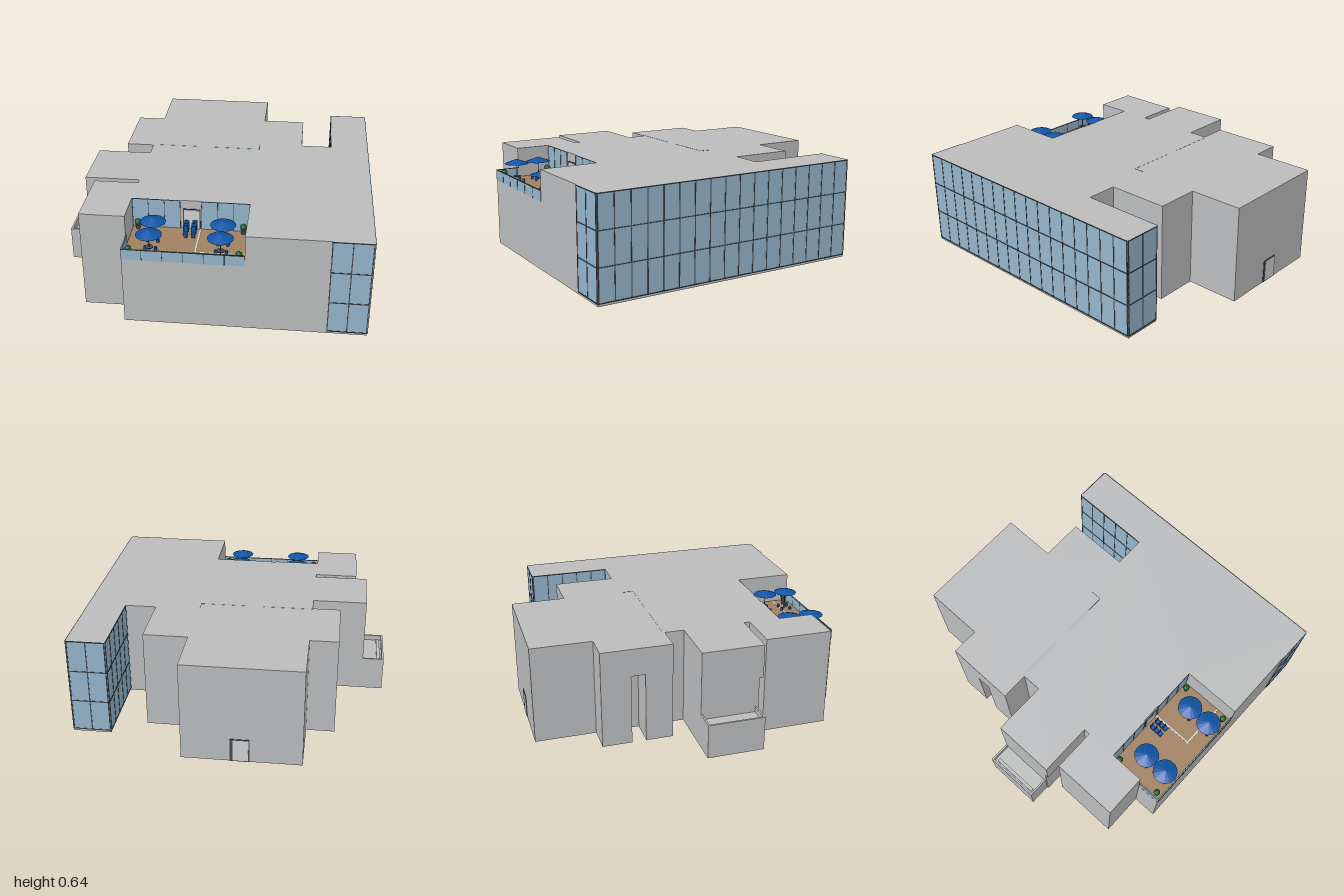
import * as THREE from 'three';

const mat = (name, color) => {
  const m = new THREE.MeshStandardMaterial({ color });
  m.name = name;
  return m;
};

export function createModel() {
  const root = new THREE.Group();
  root.name = 'building';
  const wall = mat('wall grey', 0xbbbcbd);
  const glass = mat('glass blue', 0x94b5cb);
  const frame = mat('frame dark grey', 0x43494e);
  const wood = mat('deck wood', 0xa08060);
  const blue = mat('canopy blue', 0x0f55a5);
  const green = mat('plant green', 0x1f5c2c);
  const pale = mat('pale grey', 0xd0d2d3);

  const add = (name, geo, m, parent = root) => {
    const mesh = new THREE.Mesh(geo, m);
    mesh.name = name;
    parent.add(mesh);
    return mesh;
  };
  // Box given by its limits on each axis
  const box = (name, m, x0, x1, y0, y1, z0, z1, parent = root) => {
    const b = add(name, new THREE.BoxGeometry(x1 - x0, y1 - y0, z1 - z0), m, parent);
    b.position.set((x0 + x1) / 2, (y0 + y1) / 2, (z0 + z1) / 2);
    return b;
  };
  // Upright prism over an x,z outline
  const slab = (name, pts, y0, y1) => {
    const shape = new THREE.Shape(pts.map(([x, z]) => new THREE.Vector2(x, -z)));
    const geo = new THREE.ExtrudeGeometry(shape, { depth: y1 - y0, bevelEnabled: false });
    geo.rotateX(-Math.PI / 2);
    geo.translate(0, y0, 0);
    return add(name, geo, wall);
  };

  const H = 0.64, DECK = 0.44, RAIL = 0.51, R = 0.974, F = 0.995;

  // Main body: full storeys below, terrace corner cut out above
  const back = [[-0.49, -1], [0.25, -1], [0.25, -0.65], [0.53, -0.65], [0.53, -0.25],
    [0.735, -0.25], [0.735, -0.785], [R, -0.785], [R, F]];
  const side = [[-0.49, 0.84], [-0.77, 0.84], [-0.77, 0.41], [-0.49, 0.41]];
  slab('lowerBody', [...back, [-0.49, F], ...side], 0, DECK);
  slab('upperBody', [...back, [0.24, F], [0.24, 0.61], [-0.49, 0.61], ...side], DECK, H);

  // Side block with a doorway recess
  box('sideBlockBack', wall, -0.67, -0.49, 0, H, -0.61, -0.42);
  box('sideBlockFront', wall, -0.67, -0.49, 0, H, -0.33, -0.155);
  box('sideBlockLintel', wall, -0.67, -0.49, 0.46, H, -0.42, -0.33);

  // Stair block, slightly wider at the top
  box('stairBlockLower', wall, -0.84, -0.49, 0, 0.42, -0.03, 0.345);
  box('stairBlockUpper', wall, -0.84, -0.49, 0.42, H, -0.03, 0.37);

  // Low annex with a parapet
  box('annex', wall, -0.98, -0.84, 0, 0.19, -0.03, 0.335);
  box('annexParapet', wall, -0.98, -0.968, 0.19, 0.225, -0.03, 0.335);
  box('annexParapet', wall, -0.968, -0.84, 0.19, 0.225, -0.03, -0.018);
  box('annexParapet', wall, -0.968, -0.84, 0.19, 0.225, 0.323, 0.335);
  box('annexLedge', wall, -0.957, -0.935, 0.19, 0.2, 0, 0.31);

  // Curtain wall panel: built along local x from 0 to w, facing local +z
  const curtain = (name, x, z, turn, w, y0, y1, cols, rows, bar = 0.006) => {
    const g = new THREE.Group();
    g.name = name;
    g.position.set(x, 0, z);
    g.rotation.y = turn;
    root.add(g);
    box('pane', glass, 0, w, y0, y1, 0, 0.004, g);
    for (let i = 0; i <= cols; i++) {
      const c = THREE.MathUtils.clamp((w * i) / cols, bar / 2, w - bar / 2);
      box('mullion', frame, c - bar / 2, c + bar / 2, y0, y1, 0, 0.006, g);
    }
    for (let j = 0; j <= rows; j++) {
      const c = THREE.MathUtils.clamp(y0 + ((y1 - y0) * j) / rows, y0 + bar / 2, y1 - bar / 2);
      box('transom', frame, 0, w, c - bar / 2, c + bar / 2, 0, 0.0065, g);
    }
    return g;
  };
  curtain('wingGlassLeft', R, F, Math.PI / 2, 1.78, 0.015, H, 17, 3);
  curtain('wingGlassFront', 0.735, F, 0, 0.239, 0.015, H, 2, 3);
  curtain('wingGlassBack', R, -0.785, Math.PI, 0.239, 0.015, H, 2, 3);
  curtain('wingGlassInner', 0.735, -0.785, -Math.PI / 2, 0.535, 0.015, H, 5, 3);

  // Terrace glazing and door
  curtain('terraceGlassRight', -0.49, 0.61, 0, 0.3, DECK, H, 3, 1, 0.003);
  curtain('terraceGlassLeft', -0.06, 0.61, 0, 0.3, DECK, H, 3, 1, 0.003);
  box('terraceDoorFrame', frame, -0.175, -0.065, DECK, 0.583, 0.61, 0.614);
  box('terraceDoor', pale, -0.168, -0.072, DECK, 0.576, 0.61, 0.616);

  // Deck, pale strips and railings
  box('deck', wood, -0.487, 0.24, DECK, DECK + 0.006, 0.61, 0.99);
  box('deckStrip', pale, -0.07, -0.06, DECK, DECK + 0.008, 0.615, 0.89);
  box('deckStrip', pale, -0.06, 0.235, DECK, DECK + 0.008, 0.88, 0.89);
  const rail = (x0, x1, z0, z1) => {
    box('railingGlass', glass, x0, x1, DECK, RAIL, z0, z1);
    box('railingBar', frame, x0 - 0.001, x1 + 0.001, RAIL - 0.004, RAIL, z0 - 0.001, z1 + 0.001);
  };
  rail(-0.489, 0.24, 0.991, 0.998);
  rail(-0.489, -0.483, 0.84, 0.991);
  for (let i = 1; i < 6; i++) {
    const x = -0.49 + i * 0.122;
    box('railingPost', frame, x - 0.0015, x + 0.0015, DECK, RAIL, 0.99, 0.9995);
  }

  // Parasols with table and stools
  for (const x of [-0.335, 0.09]) for (const z of [0.76, 0.913]) {
    const g = new THREE.Group();
    g.name = 'parasolSet';
    g.position.set(x, DECK, z);
    root.add(g);
    const canopyGeo = new THREE.ConeGeometry(0.079, 0.03, 14, 1).toNonIndexed();
    canopyGeo.computeVertexNormals();
    add('canopy', canopyGeo, blue, g).position.y = 0.145;
    add('pole', new THREE.CylinderGeometry(0.003, 0.003, 0.14, 8), frame, g).position.y = 0.07;
    add('table', new THREE.CylinderGeometry(0.025, 0.025, 0.004, 14), frame, g).position.y = 0.045;
    for (let i = 0; i < 4; i++) {
      const a = (i + 0.5) * Math.PI / 2;
      const s = add('stool', new THREE.CylinderGeometry(0.009, 0.009, 0.028, 8), blue, g);
      s.position.set(0.045 * Math.cos(a), 0.014, 0.045 * Math.sin(a));
    }
  }

  // Chairs by the door, two columns of three
  for (const x of [-0.145, -0.097]) for (let i = 0; i < 3; i++) {
    const z = 0.655 + i * 0.032;
    box('chairSeat', blue, x - 0.015, x + 0.015, 0.47, 0.478, z - 0.014, z + 0.014);
    box('chairBack', blue, x - 0.015, x + 0.015, 0.478, 0.52, z - 0.014, z - 0.009);
    box('chairLeg', frame, x - 0.01, x + 0.01, DECK, 0.47, z - 0.008, z + 0.008);
  }

  // Corner plants
  for (const x of [-0.453, 0.202]) for (const z of [0.642, 0.955]) {
    add('planter', new THREE.CylinderGeometry(0.016, 0.012, 0.035, 12), frame).position.set(x, DECK + 0.02, z);
    add('plant', new THREE.IcosahedronGeometry(0.021, 1), green).position.set(x, DECK + 0.052, z);
  }

  // Back door
  box('backDoorFrame', frame, -0.17, -0.05, 0, 0.155, -1.003, -1);
  box('backDoor', pale, -0.163, -0.068, 0.005, 0.148, -1.004, -1);

  // Glass joints showing along the roof
  box('roofJoint', glass, -0.49, -0.17, H, H + 0.001, -0.167, -0.162);
  box('roofJoint', glass, -0.07, 0.24, H, H + 0.001, -0.167, -0.162);
  box('roofJoint', frame, 0.239, 0.243, H, H + 0.001, -0.235, -0.162);

  return root;
}
